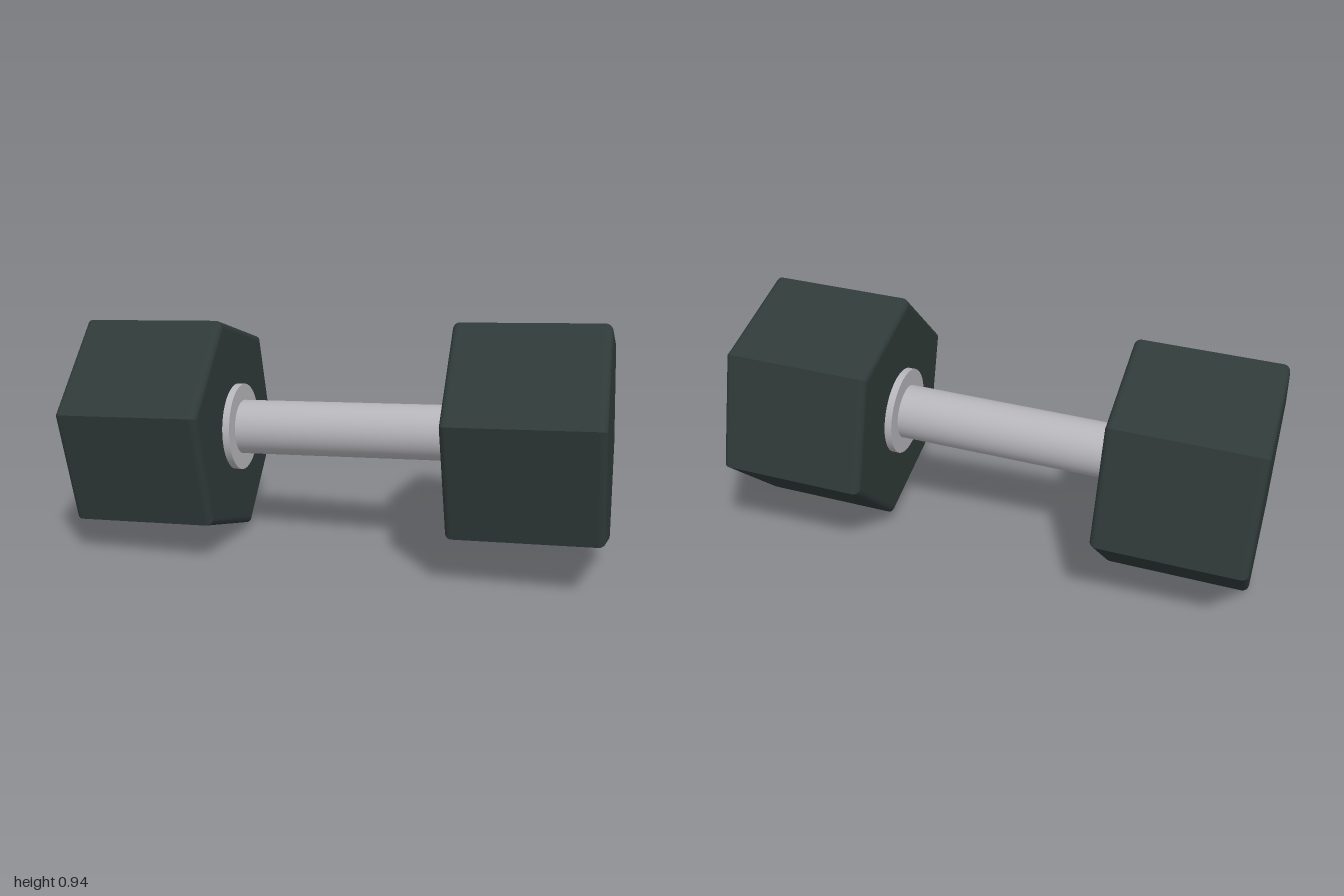
import * as THREE from 'three';

const rubber = new THREE.MeshStandardMaterial({ color: 0x2f3a38 });
rubber.name = 'dark rubber';
const steel = new THREE.MeshStandardMaterial({ color: 0xb4b4b9 });
steel.name = 'steel';

const TILT = 0.0425;               // the bar leans slightly up towards +x
const ROLL = THREE.MathUtils.degToRad(11.3); // hexagon turn about the bar
const RADIUS = 0.437, INNER = 0.43, OUTER = 0.979, BEVEL = 0.025;

// Hexagonal head with rounded rims, running along x and centred on the origin
function headGeometry() {
  const points = [];
  for (let i = 0; i < 6; i++) {
    const a = ROLL + (i * Math.PI) / 3;
    points.push(new THREE.Vector2(-RADIUS * Math.sin(a), RADIUS * Math.cos(a)));
  }
  const geometry = new THREE.ExtrudeGeometry(new THREE.Shape(points), {
    depth: OUTER - INNER - 2 * BEVEL,
    bevelEnabled: true,
    bevelThickness: BEVEL,
    bevelSize: BEVEL,
    bevelOffset: -BEVEL,
    bevelSegments: 5,
  });
  geometry.center();
  return geometry.rotateY(Math.PI / 2);
}

// Cylinder lying along x
function rod(radius, length) {
  return new THREE.CylinderGeometry(radius, radius, length, 48).rotateZ(-Math.PI / 2);
}

function addPart(parent, name, geometry, material, x) {
  const mesh = new THREE.Mesh(geometry, material);
  mesh.name = name;
  mesh.position.x = x;
  parent.add(mesh);
}

export function createModel() {
  const model = new THREE.Group();
  model.name = 'dumbbell';

  const body = new THREE.Group();
  body.name = 'tiltedBody';
  body.position.y = 0.477;
  body.rotation.z = TILT;
  model.add(body);

  // Handle between the heads
  addPart(body, 'handle', rod(0.103, 2 * INNER + 0.04), steel, 0);

  // A head and a collar at each end
  const head = headGeometry();
  const collar = rod(0.165, 0.05);
  for (const [side, s] of [['left', 1], ['right', -1]]) {
    addPart(body, side + 'Head', head, rubber, (s * (INNER + OUTER)) / 2);
    addPart(body, side + 'Collar', collar, steel, s * (INNER - 0.002));
  }
  return model;
}
